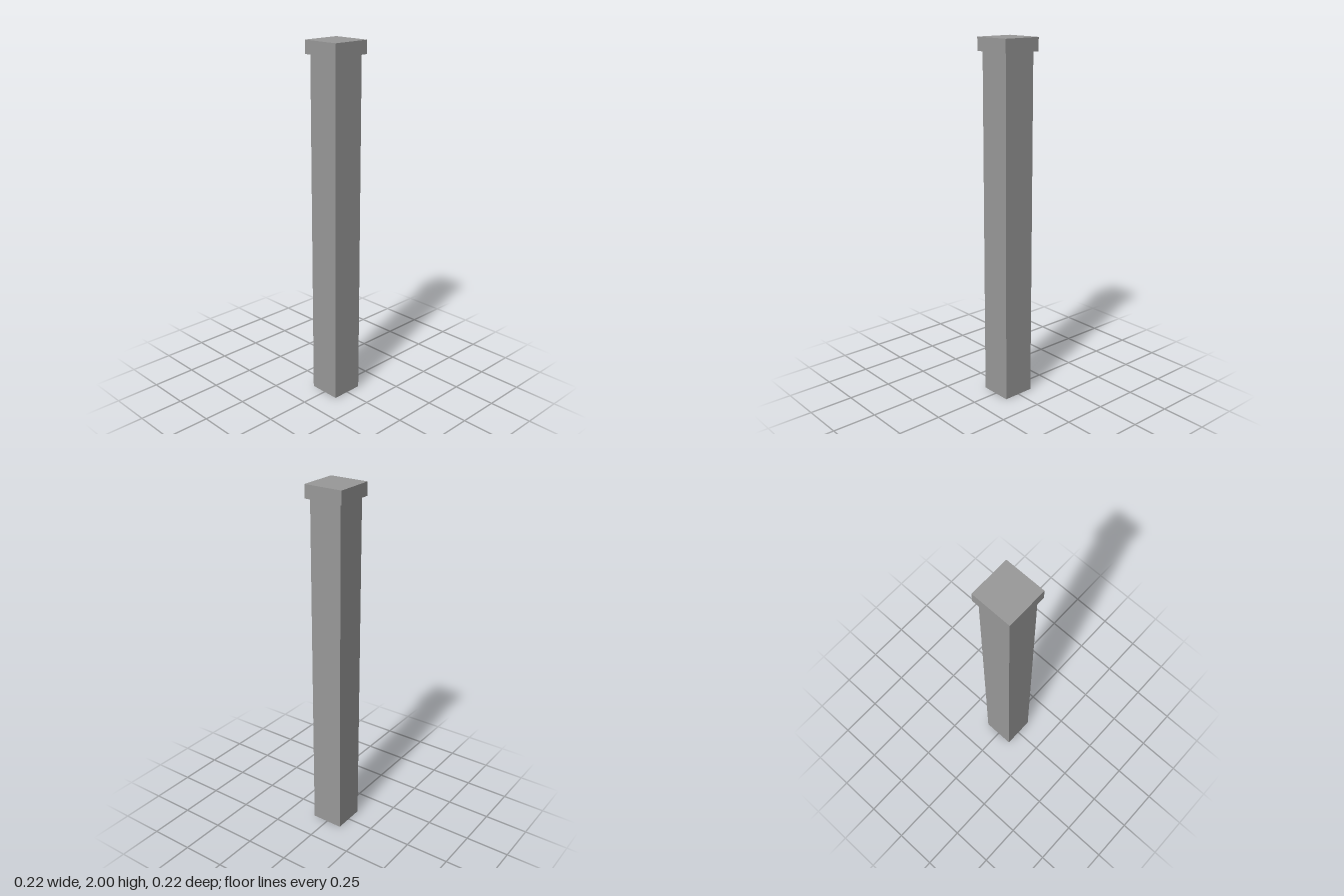
import * as THREE from 'three';

export function createModel() {
  const group = new THREE.Group();
  group.name = 'post';
  const material = new THREE.MeshStandardMaterial({ color: 0x999999, flatShading: true });

  // Square block centred on the axis, spanning bottom..top
  const addBlock = (name, width, bottom, top) => {
    const mesh = new THREE.Mesh(new THREE.BoxGeometry(width, top - bottom, width), material);
    mesh.name = name;
    mesh.position.y = (bottom + top) / 2;
    group.add(mesh);
  };

  const capBottom = 1.928;
  addBlock('shaft', 0.185, 0, capBottom);
  addBlock('cap', 0.223, capBottom, 2);

  return group;
}
